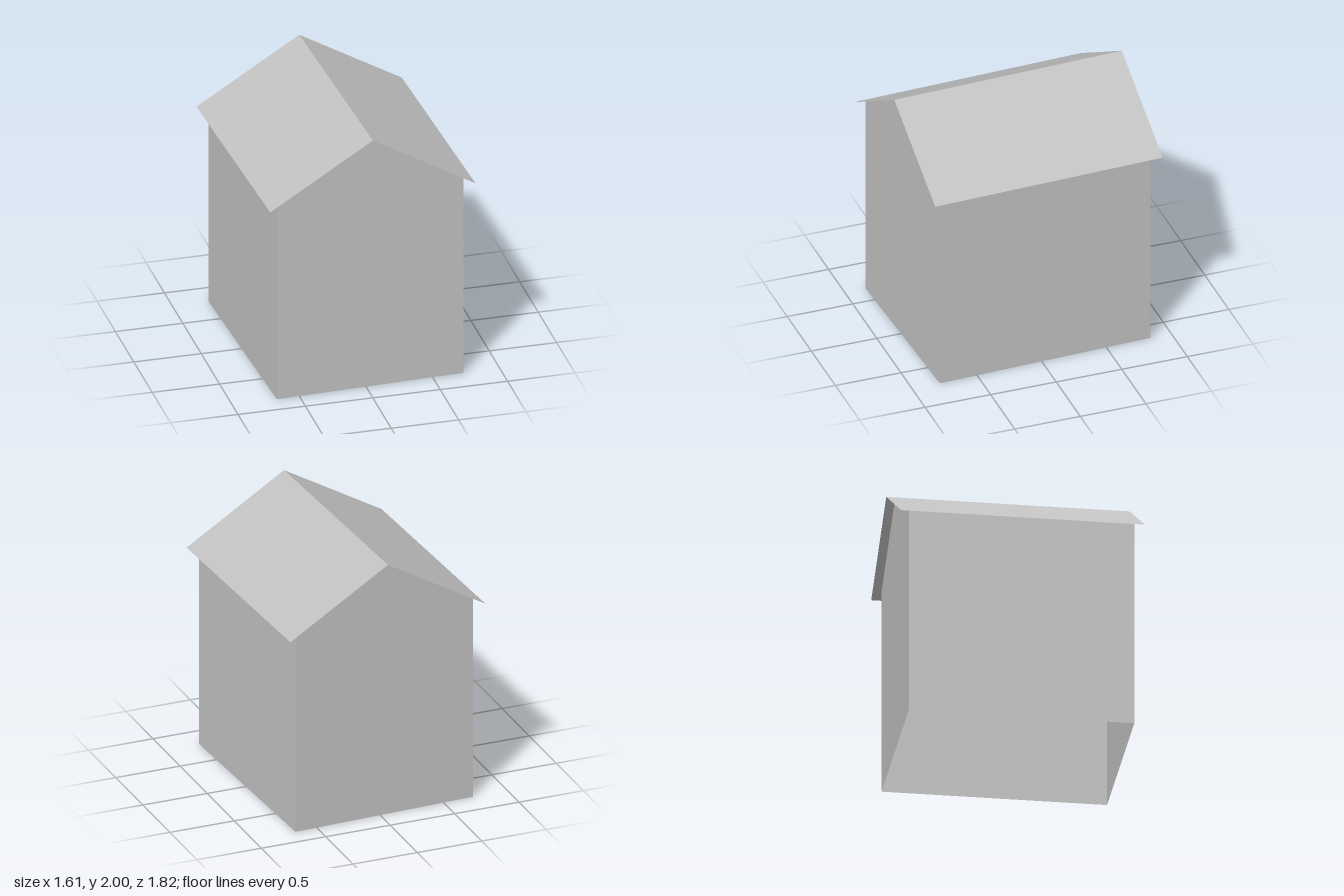
import * as THREE from 'three';

const WALL_X = 0.70, WALL_Z = 0.815;   // half width and half length of the walls
const ROOF_X = 0.77, ROOF_Z = 0.88;    // half width and half length of the roof
const RIDGE = 2.0, EAVE = 1.54;
const WALL_TOP = RIDGE - (RIDGE - EAVE) * WALL_X / ROOF_X;

export function createModel() {
  const grey = new THREE.MeshStandardMaterial({ color: 0xc0c0c0, side: THREE.DoubleSide, flatShading: true });
  grey.name = 'plainGrey';

  const house = new THREE.Group();
  house.name = 'house';
  const add = (name, geometry) => {
    const mesh = new THREE.Mesh(geometry, grey);
    mesh.name = name;
    house.add(mesh);
    return mesh;
  };

  // Gable wall outline, five corners
  const gable = new THREE.Shape([
    new THREE.Vector2(-WALL_X, 0),
    new THREE.Vector2(WALL_X, 0),
    new THREE.Vector2(WALL_X, WALL_TOP),
    new THREE.Vector2(0, RIDGE),
    new THREE.Vector2(-WALL_X, WALL_TOP),
  ]);
  add('frontWall', new THREE.ShapeGeometry(gable)).position.z = WALL_Z;
  const back = add('backWall', new THREE.ShapeGeometry(gable));
  back.position.z = -WALL_Z;
  back.rotation.y = Math.PI;

  // Side walls and single-sheet roof slopes, mirrored about the ridge
  const slope = Math.atan2(RIDGE - EAVE, ROOF_X);
  const slopeLength = Math.hypot(RIDGE - EAVE, ROOF_X);
  for (const [side, s] of [['left', 1], ['right', -1]]) {
    const wall = add(side + 'Wall', new THREE.PlaneGeometry(2 * WALL_Z, WALL_TOP));
    wall.position.set(s * WALL_X, WALL_TOP / 2, 0);
    wall.rotation.y = s * Math.PI / 2;

    const sheet = new THREE.PlaneGeometry(slopeLength, 2 * ROOF_Z).rotateX(-Math.PI / 2);
    const roof = add(side + 'Roof', sheet);
    roof.position.set(s * ROOF_X / 2, (RIDGE + EAVE) / 2, 0);
    roof.rotation.z = -s * slope;
  }

  // Ceiling at the top of the side walls; the floor is open
  const ceiling = add('ceiling', new THREE.PlaneGeometry(2 * WALL_X, 2 * WALL_Z));
  ceiling.rotation.x = Math.PI / 2;
  ceiling.position.y = WALL_TOP;

  // The house stands slightly turned
  house.rotation.y = 0.038;
  const model = new THREE.Group();
  model.name = 'model';
  model.add(house);
  return model;
}
